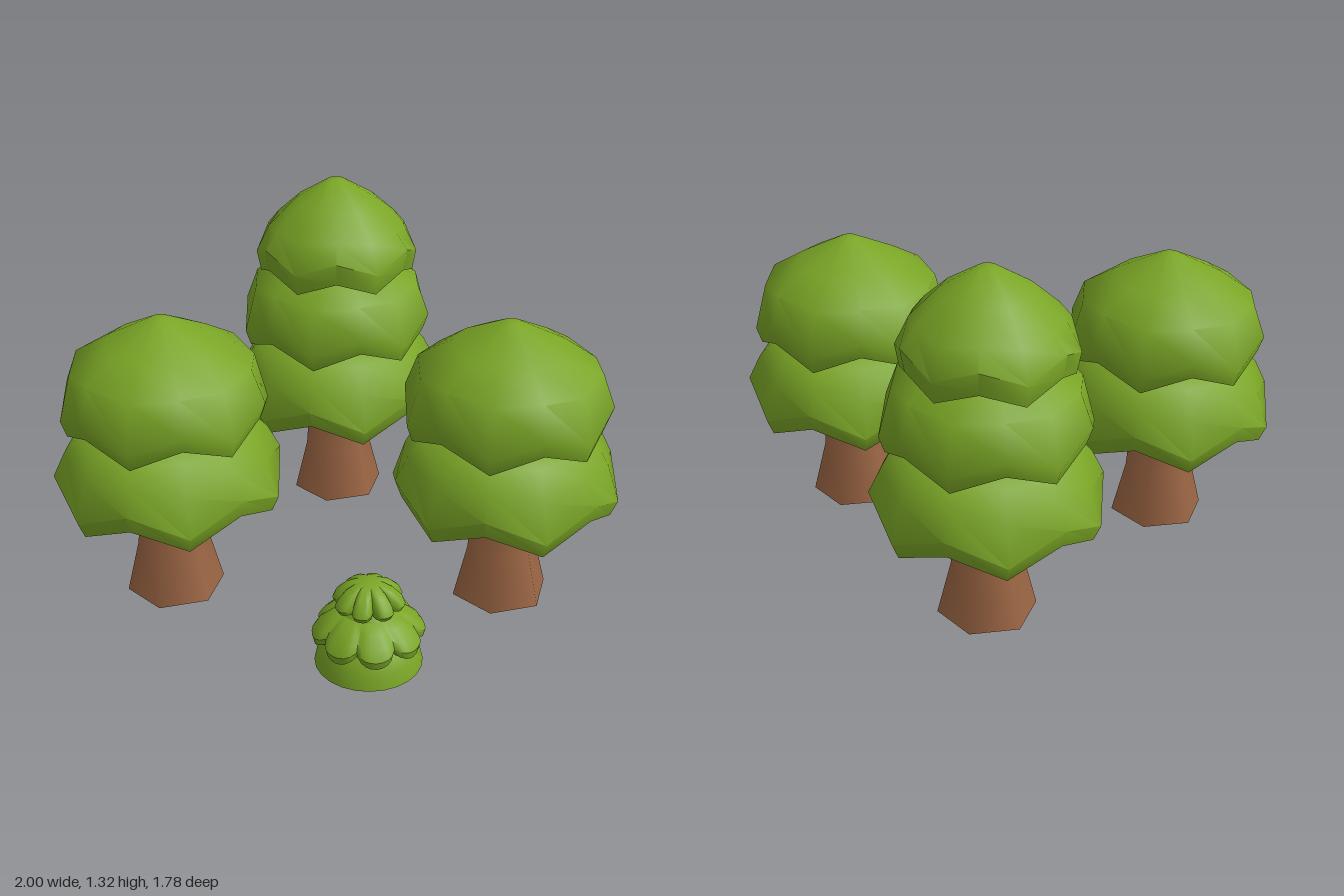
import * as THREE from 'three';
import { toCreasedNormals } from 'three/addons/utils/BufferGeometryUtils.js';

const leaf = new THREE.MeshStandardMaterial({ color: 0x7aa526 });
leaf.name = 'leafGreen';
const leafOpen = leaf;
leafOpen.side = THREE.DoubleSide;
const bark = new THREE.MeshStandardMaterial({ color: 0x9c6644 });
bark.name = 'barkBrown';

// Surface through closed rings, top to bottom; ring(k, angle, i) gives [radius, y]
function ringSurface(rings, sides, turn, ring, crease) {
  const pos = [], index = [];
  for (let k = 0; k < rings; k++) {
    for (let i = 0; i < sides; i++) {
      const a = (i / sides) * Math.PI * 2;
      const [r, y] = ring(k, a, i);
      pos.push(r * Math.sin(a + turn), y, r * Math.cos(a + turn));
      if (k === rings - 1) continue;
      const j = (i + 1) % sides, t = k * sides, b = t + sides;
      index.push(t + i, b + i, b + j, t + i, b + j, t + j);
    }
  }
  const g = new THREE.BufferGeometry();
  g.setAttribute('position', new THREE.Float32BufferAttribute(pos, 3));
  g.setIndex(index);
  return toCreasedNormals(g, crease);
}

function add(parent, name, geometry, material) {
  const mesh = new THREE.Mesh(geometry, material);
  mesh.name = name;
  parent.add(mesh);
  return mesh;
}

// Canopy profiles: [radius, y at drooping corners, y at raised corners]
const lowerTier = [
  [0, 0.72, 0.72], [0.2, 0.71, 0.71], [0.31, 0.67, 0.67], [0.365, 0.57, 0.61],
  [0.41, 0.43, 0.52], [0.385, 0.37, 0.45], [0.28, 0.42, 0.49], [0, 0.5, 0.5],
];
const middleTier = [
  [0, 1.085, 1.085], [0.035, 1.08, 1.08], [0.2, 0.995, 0.995], [0.325, 0.905, 0.92],
  [0.37, 0.73, 0.8], [0.35, 0.67, 0.74], [0.26, 0.7, 0.75], [0, 0.74, 0.74],
];
const crownTier = [
  [0, 1.322, 1.322], [0.035, 1.318, 1.318], [0.16, 1.24, 1.24], [0.26, 1.135, 1.15],
  [0.31, 1.03, 1.09], [0.295, 0.95, 1.005], [0.22, 0.98, 1.02], [0, 1.0, 1.0],
];

function canopy(profile, turn) {
  return ringSurface(profile.length, 12, turn, (k, a, i) => {
    const [r, low, high] = profile[k];
    return [r, i % 2 ? low : high];
  }, 0.85);
}

function tree(name, x, z, tall) {
  const g = new THREE.Group();
  g.name = name;
  // Flared six-sided trunk
  const trunk = [[0, 0.55], [0.112, 0.55], [0.115, 0.4], [0.13, 0.2], [0.18, 0], [0, 0]];
  add(g, 'trunk', ringSurface(trunk.length, 6, 0, k => trunk[k], 1.2), bark);
  add(g, 'lowerCanopy', canopy(lowerTier, 0), leaf);
  add(g, 'upperCanopy', canopy(middleTier, Math.PI / 6), leaf);
  if (tall) add(g, 'crownCanopy', canopy(crownTier, Math.PI / 12), leaf);
  g.position.set(x, 0, z);
  return g;
}

// Eight-lobed bush tier: [radius, y, lobe depth, droop]
function lobedTier(profile, turn) {
  return ringSurface(profile.length, 64, turn, (k, a) => {
    const [r, y, depth, droop] = profile[k];
    const valley = 1 - Math.abs(Math.cos(a * 4));
    return [r * (1 - depth * valley * valley), y + droop * valley];
  }, 0.7);
}

function bush(x, z) {
  const g = new THREE.Group();
  g.name = 'bush';
  // Open skirt at the ground
  const skirt = [[0.1, 0.17], [0.15, 0.12], [0.175, 0.07], [0.187, 0.015]];
  add(g, 'skirt', ringSurface(skirt.length, 24, 0, k => skirt[k], 1), leafOpen);
  add(g, 'middleLeaves', lobedTier([
    [0, 0.24, 0, 0], [0.1, 0.225, 0.05, 0], [0.135, 0.205, 0.1, 0], [0.175, 0.17, 0.12, 0.01],
    [0.195, 0.135, 0.14, 0.02], [0.188, 0.105, 0.15, 0.03], [0.165, 0.1, 0.15, 0.03],
    [0.09, 0.15, 0.1, 0],
  ], Math.PI / 8), leaf);
  add(g, 'topLeaves', lobedTier([
    [0, 0.332, 0, 0], [0.05, 0.328, 0.15, 0], [0.085, 0.31, 0.22, 0], [0.115, 0.282, 0.27, 0],
    [0.125, 0.258, 0.28, 0.005], [0.115, 0.24, 0.28, 0.01], [0.095, 0.238, 0.25, 0.01],
    [0, 0.25, 0, 0],
  ], 0), leaf);
  // Stem of foliage joining the two leaf tiers
  const core = [[0.07, 0.26], [0.1, 0.22]];
  add(g, 'core', ringSurface(2, 24, 0, k => core[k], 1), leafOpen);
  g.position.set(x, 0, z);
  return g;
}

export function createModel() {
  const model = new THREE.Group();
  model.name = 'treeCluster';
  model.add(
    tree('rightTree', -0.59, 0.4, false),
    tree('leftTree', 0.585, 0.135, false),
    tree('tallBackTree', -0.2, -0.485, true),
    bush(0.225, 0.7),
  );
  return model;
}
